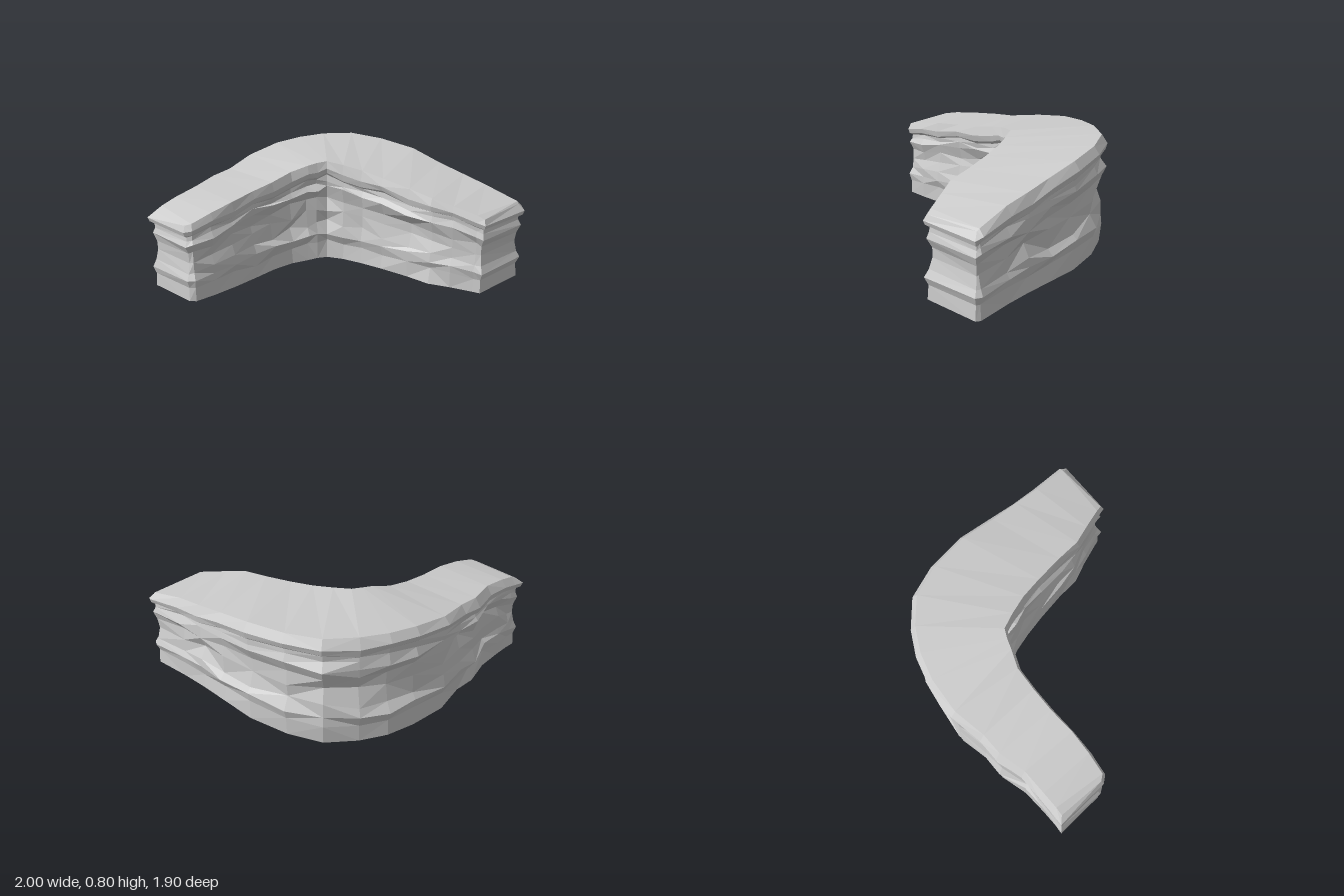
import * as THREE from 'three';

// Plan stations along the bend: outer x, z, height, then inner x, z, height
const STATIONS = [
  [-1, -0.865, 0.575, -0.985, -0.47, 0.575], [-0.9, -0.862, 0.605, -0.945, -0.42, 0.59],
  [-0.78, -0.863, 0.635, -0.78, -0.4, 0.63], [-0.6, -0.865, 0.665, -0.6, -0.39, 0.66],
  [-0.4, -0.912, 0.68, -0.4, -0.4, 0.68], [-0.24, -0.912, 0.695, -0.22, -0.395, 0.7],
  [0, -0.955, 0.735, -0.05, -0.385, 0.735], [0.27, -0.932, 0.775, 0.07, -0.335, 0.765],
  [0.47, -0.872, 0.79, 0.14, -0.31, 0.775], [0.65, -0.775, 0.8, 0.2, -0.28, 0.78],
  [0.83, -0.615, 0.8, 0.25, -0.17, 0.765], [0.93, -0.37, 0.785, 0.3, -0.03, 0.745],
  [0.98, -0.07, 0.76, 0.335, 0.14, 0.72], [0.975, 0.2, 0.71, 0.37, 0.36, 0.69],
  [0.98, 0.42, 0.675, 0.39, 0.55, 0.665], [0.98, 0.62, 0.645, 0.45, 0.7, 0.63],
  [1, 0.9, 0.585, 0.51, 0.86, 0.59], [0.975, 0.95, 0.57, 0.53, 0.925, 0.57],
];

// Rock strata from ground to top: [fraction of height, inset, roughness, follows ledge]
const STRATA = [
  [0, 0.02, 0.3, 0], [0.17, 0.025, 0.8, 0], [0.27, 0.005, 0.8, 0], [0.36, 0.03, 1, 0],
  [0.49, 0.042, 1, 0], [0.62, 0.042, 1, 0], [0.73, 0.015, 1, 0], [0.8, 0.032, 0.5, 0.7],
  [0.855, 0.035, 0.2, 1], [0.88, 0.012, 0.1, 1], [0.93, 0.002, 0.1, 0.6], [1, 0.022, 0, 0],
];

// Repeatable noise, 0..1
const noise = (i, j) => {
  const s = Math.sin(i * 12.99 + j * 78.23) * 43758.55;
  return s - Math.floor(s);
};

export function createModel() {
  const n = STATIONS.length;
  const outline = [
    ...STATIONS.map(([x, z, h]) => ({ x, z, h, outer: true })),
    ...STATIONS.map(([, , , x, z, h]) => ({ x, z, h, outer: false })).reverse(),
  ];
  const m = outline.length;

  // Outward mitred direction at every outline corner
  const edgeNormal = (a, b) => new THREE.Vector2(b.z - a.z, a.x - b.x).normalize();
  outline.forEach((p, i) => {
    const before = edgeNormal(outline[(i + m - 1) % m], p);
    const after = edgeNormal(p, outline[(i + 1) % m]);
    p.dir = before.clone().add(after).normalize();
    p.dir.divideScalar(Math.max(0.7, p.dir.dot(after)));
  });

  // One ring of points per stratum; the ledge under the cap wanders up and down
  const rings = STRATA.map(([f, inset, rough, ledge], j) => outline.map((p, i) => {
    const isTop = j === STRATA.length - 1;
    const isEnd = i % n < 2 || i % n > n - 3;
    const k = isEnd ? 0.3 : 1;
    const d = inset + (isTop && p.outer ? 0.02 : 0) + (noise(i, j) - 0.4) * 0.045 * rough * k;
    const rise = (noise(i + 40, j) - 0.5) * 0.05 * rough * k;
    const wander = (noise(i, 90) - 0.85) * 0.055 * ledge * k;
    return [p.x - p.dir.x * d, j ? f * p.h + rise + wander : 0, p.z - p.dir.y * d];
  }));

  const makeMesh = (name, positions) => {
    const geometry = new THREE.BufferGeometry();
    geometry.setAttribute('position', new THREE.Float32BufferAttribute(positions, 3));
    geometry.computeVertexNormals();
    const mesh = new THREE.Mesh(geometry, new THREE.MeshStandardMaterial({ color: 0xcccccc, flatShading: true }));
    mesh.name = name;
    return mesh;
  };
  const quad = (out, a, b, c, d, flip) => {
    if (flip) out.push(...a, ...b, ...d, ...b, ...c, ...d);
    else out.push(...a, ...b, ...c, ...a, ...c, ...d);
  };

  // Layered rock faces, with the diagonals varied for a chipped look
  const sides = [];
  for (let j = 0; j < rings.length - 1; j++) {
    for (let i = 0; i < m; i++) {
      const k = (i + 1) % m;
      quad(sides, rings[j][i], rings[j + 1][i], rings[j + 1][k], rings[j][k], noise(i, j + 60) > 0.5);
    }
  }

  // Sloping top and flat underside, spanning outer to inner edge
  const top = [], bottom = [];
  const upper = rings[rings.length - 1], lower = rings[0];
  for (let i = 0; i < n - 1; i++) {
    const a = m - 1 - i, b = m - 2 - i;
    quad(top, upper[i], upper[a], upper[b], upper[i + 1]);
    quad(bottom, lower[i], lower[i + 1], lower[b], lower[a]);
  }

  const group = new THREE.Group();
  group.name = 'curvedCliff';
  group.add(makeMesh('rockFaces', sides), makeMesh('plateau', top), makeMesh('underside', bottom));
  return group;
}
